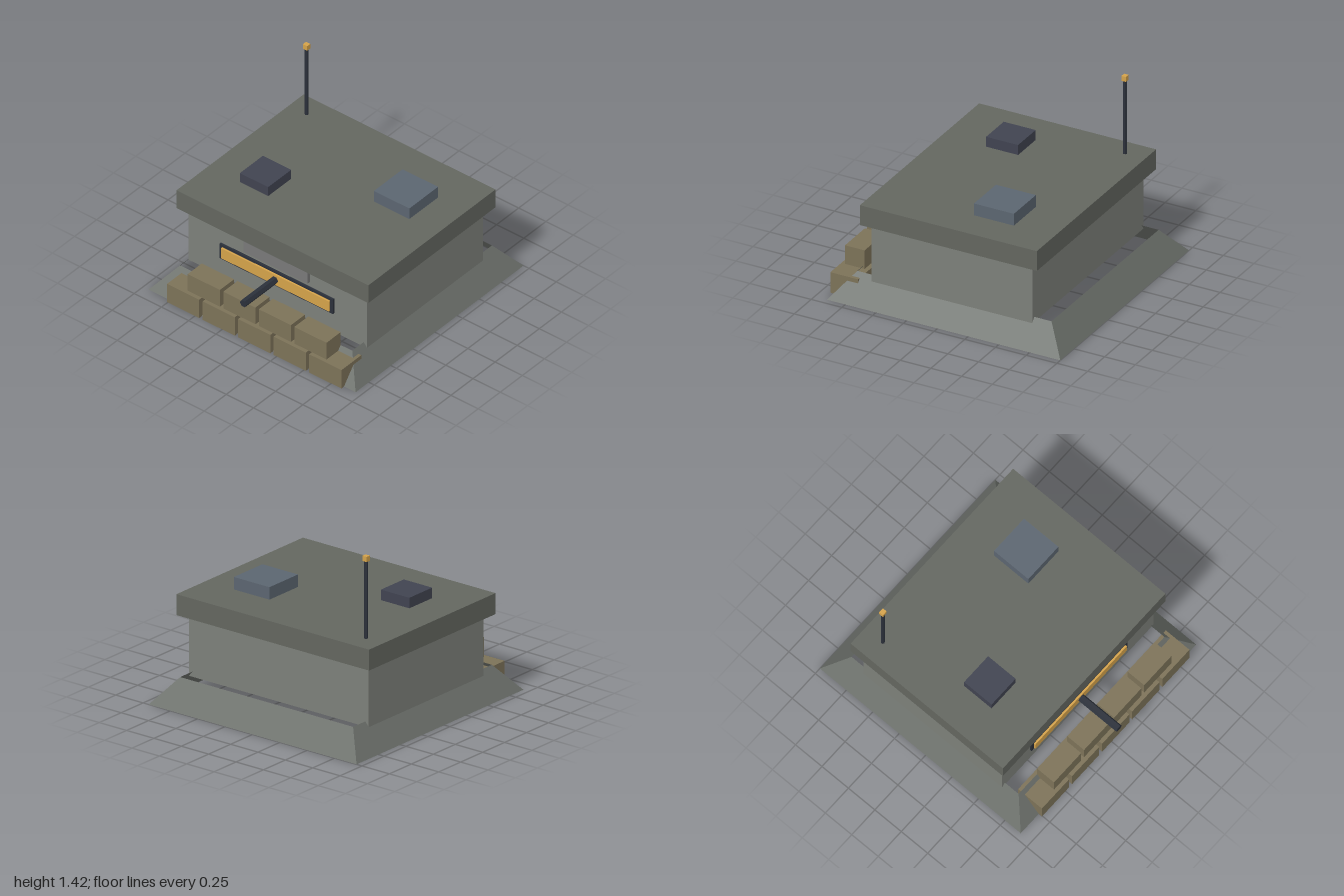
import * as THREE from 'three';

const mat = (color) => new THREE.MeshStandardMaterial({ color, flatShading: true });

export function createModel() {
  const model = new THREE.Group();
  const wallMat = mat(0x7c7f79), roofMat = mat(0x63665f), skirtMat = mat(0x686c67);
  const plateMat = mat(0x787878), darkMat = mat(0x2b303a), goldMat = mat(0xd4a24a);
  const bagMat = mat(0x7c7258), hatchMat = mat(0x404350), ventMat = mat(0x5b6570);
  skirtMat.side = THREE.DoubleSide;

  const add = (name, geometry, material, parent = model) => {
    const mesh = new THREE.Mesh(geometry, material);
    mesh.name = name;
    parent.add(mesh);
    return mesh;
  };
  // Box given by its low and high limits on each axis
  const box = (name, [x0, x1], [y0, y1], [z0, z1], material, parent) => {
    const geometry = new THREE.BoxGeometry(x1 - x0, y1 - y0, z1 - z0);
    add(name, geometry, material, parent)
      .position.set((x0 + x1) / 2, (y0 + y1) / 2, (z0 + z1) / 2);
  };

  // Open sloping skirt around the base
  const skirt = new THREE.CylinderGeometry(0.79 * Math.SQRT2, 0.95 * Math.SQRT2, 0.2, 4, 1, true);
  skirt.rotateY(Math.PI / 4);
  add('earthSkirt', skirt, skirtMat).position.set(0, 0.1, -0.05);

  // Walls and overhanging roof slab
  box('walls', [-0.82, 0.82], [0.16, 0.63], [-0.7, 0.61], wallMat);
  box('roofSlab', [-0.88, 0.88], [0.63, 0.79], [-0.77, 0.67], roofMat);

  // Firing slit with the plate above it
  box('brow', [-0.295, 0.295], [0.5, 0.61], [0.6, 0.635], plateMat);
  box('slitFrame', [-0.52, 0.52], [0.33, 0.46], [0.6, 0.627], darkMat);
  box('slitGlow', [-0.495, 0.495], [0.35, 0.44], [0.6, 0.642], goldMat);

  // Six-sided gun barrel with corners to the left and right
  const barrel = new THREE.CylinderGeometry(0.03, 0.03, 0.4, 6);
  barrel.rotateY(Math.PI / 2);
  barrel.rotateX(Math.PI / 2);
  add('gunBarrel', barrel, darkMat).position.set(0, 0.395, 0.8);

  // Two staggered rows of sandbags
  const bags = new THREE.Group();
  bags.name = 'sandbags';
  model.add(bags);
  const bagRow = (count, start, y, z) => {
    for (let i = 0; i < count; i++) {
      const x = start + i * 0.326;
      box('sandbag', [x, x + 0.295], y, z, bagMat, bags);
    }
  };
  bagRow(5, -0.755, [0, 0.165], [0.705, 0.93]);
  bagRow(4, -0.59, [0.165, 0.315], [0.74, 0.9]);

  // Roof fittings
  box('hatch', [-0.59, -0.33], [0.78, 0.87], [0.05, 0.31], hatchMat);
  box('roofVent', [0.295, 0.62], [0.78, 0.885], [-0.44, -0.115], ventMat);

  // Antenna
  add('antennaMast', new THREE.CylinderGeometry(0.015, 0.015, 0.6, 6), darkMat)
    .position.set(-0.72, 1.08, -0.605);
  box('antennaTip', [-0.74, -0.7], [1.38, 1.42], [-0.623, -0.587], goldMat);

  return model;
}
